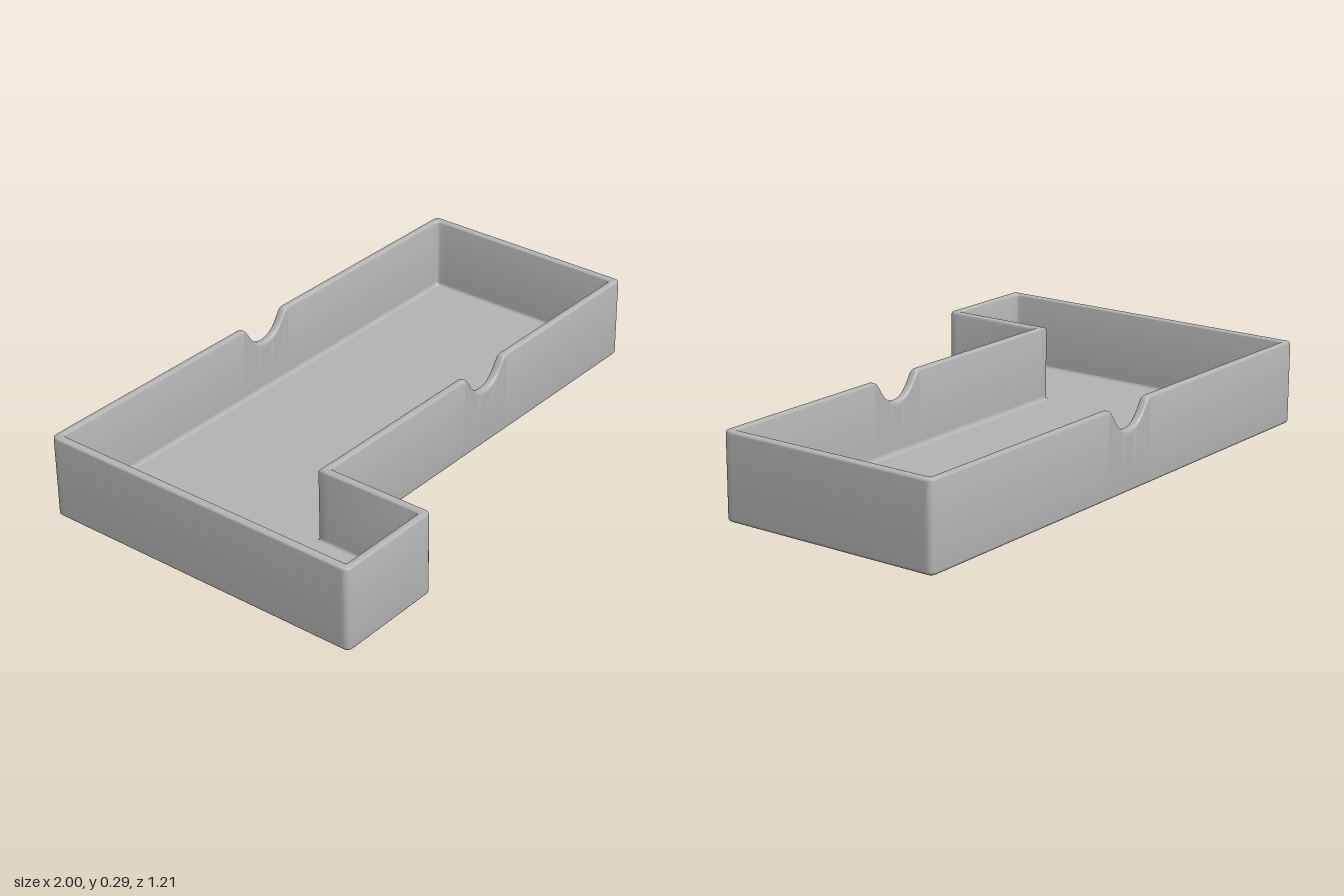
import * as THREE from 'three';
import { toCreasedNormals } from 'three/addons/utils/BufferGeometryUtils.js';

const H = 0.295, WALL = 0.03, FLOOR = 0.03;
const CORNERS = [[-1, 0.605], [-0.6, 0.605], [-0.6, 0.215], [1, 0.215], [1, -0.605], [-1, -0.605]]
  .map(([x, z]) => new THREE.Vector2(x, z));
// finger notches: index of the wall they sit in, and centre x
const NOTCHES = { 2: 0.2, 4: 0 };
const NOTCH_CURVE = new THREE.SplineCurve([
  [-0.115, 0], [-0.103, 0.004], [-0.092, 0.018], [-0.075, 0.043], [-0.055, 0.065], [-0.03, 0.08], [0, 0.085],
  [0.03, 0.08], [0.055, 0.065], [0.075, 0.043], [0.092, 0.018], [0.103, 0.004], [0.115, 0],
].map(([x, y]) => new THREE.Vector2(x, y))).getPoints(36);

// L-shaped loop inset by d; every loop has the same number of stations
function outline(d) {
  const n = CORNERS.length, out = [];
  const dir = i => CORNERS[(i + 1) % n].clone().sub(CORNERS[i]).normalize();
  const inward = v => new THREE.Vector2(v.y, -v.x);
  for (let i = 0; i < n; i++) {
    const p = dir((i + n - 1) % n), q = dir(i);
    const c = CORNERS[i].clone().addScaledVector(inward(p).add(inward(q)), d);
    const r = p.cross(q) < 0 ? Math.max(0.022 - d, 0.01) : 0.002;
    const centre = c.clone().addScaledVector(p, -r).addScaledVector(q, r);
    out.push({ p: c.clone().addScaledVector(p, -0.035), drop: 0 });
    for (let k = 0; k <= 5; k++) {
      const a = k / 5 * Math.PI / 2;
      out.push({
        p: centre.clone().addScaledVector(p, r * Math.sin(a)).addScaledVector(q, -r * Math.cos(a)),
        drop: 0,
      });
    }
    out.push({ p: c.clone().addScaledVector(q, 0.035), drop: 0 });
    if (i in NOTCHES) {
      for (const s of NOTCH_CURVE) {
        out.push({ p: new THREE.Vector2(NOTCHES[i] + s.x * q.x, c.y), drop: Math.max(0, s.y) });
      }
    }
  }
  return out;
}

// wall section as [inset, height], from underside over the rim to the floor
function section() {
  const pts = [];
  const arc = (cx, cy, r, from, to) => {
    for (let k = 0; k <= 4; k++) {
      const a = THREE.MathUtils.degToRad(from + (to - from) * k / 4);
      pts.push([cx + r * Math.cos(a), cy + r * Math.sin(a)]);
    }
  };
  pts.push([0.02, 0]);
  arc(0.012, 0.012, 0.012, 270, 180);
  pts.push([0, 0.018], [0, H - 0.015]);
  arc(0.01, H - 0.01, 0.01, 180, 90);
  arc(WALL - 0.01, H - 0.01, 0.01, 90, 0);
  pts.push([WALL, H - 0.015], [WALL, FLOOR + 0.016]);
  arc(WALL + 0.01, FLOOR + 0.01, 0.01, 180, 270);
  pts.push([0.048, FLOOR]);
  return pts;
}

function trayGeometry() {
  const profile = section(), loops = profile.map(([d]) => outline(d));
  const n = loops[0].length, pos = [], index = [];
  profile.forEach(([, y], j) => loops[j].forEach(({ p, drop }) => {
    pos.push(p.x, y > 0.25 ? y - drop : y, p.y);
  }));
  for (let j = 0; j < profile.length - 1; j++) {
    for (let i = 0; i < n; i++) {
      const a = j * n + i, b = j * n + (i + 1) % n;
      index.push(a, b, b + n, a, b + n, a + n);
    }
  }
  // underside and inner floor
  const cap = (j, up) => {
    const pts = loops[j].map(s => s.p);
    for (const [a, b, c] of THREE.ShapeUtils.triangulateShape(pts, [])) {
      const facesUp = pts[b].clone().sub(pts[a]).cross(pts[c].clone().sub(pts[a])) < 0;
      const tri = facesUp === up ? [a, b, c] : [a, c, b];
      index.push(...tri.map(v => v + j * n));
    }
  };
  cap(0, false);
  cap(profile.length - 1, true);
  const g = new THREE.BufferGeometry();
  g.setAttribute('position', new THREE.Float32BufferAttribute(pos, 3));
  g.setIndex(index);
  return toCreasedNormals(g, 0.6);
}

export function createModel() {
  const grey = new THREE.MeshStandardMaterial({ color: 0xb4b4b4 });
  grey.name = 'grey';
  const tray = new THREE.Mesh(trayGeometry(), grey);
  tray.name = 'tray';
  const group = new THREE.Group();
  group.name = 'cornerTray';
  group.add(tray);
  return group;
}
